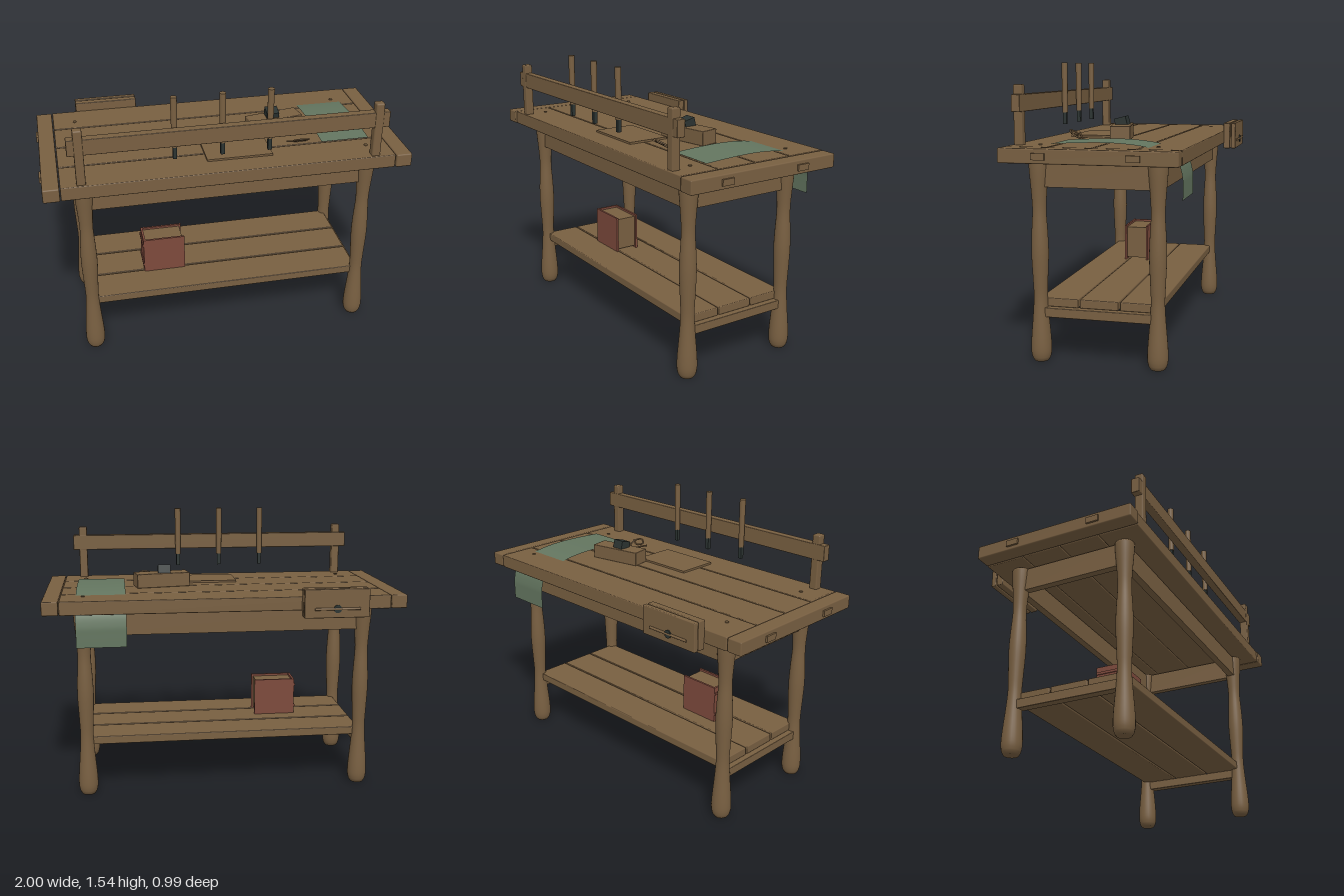
import * as THREE from 'three';
import { RoundedBoxGeometry } from 'three/addons/geometries/RoundedBoxGeometry.js';

const material = (name, color, side = THREE.FrontSide) => {
  const m = new THREE.MeshStandardMaterial({ color, side });
  m.name = name;
  return m;
};

export function createModel() {
  const wood = material('wood', 0x785f41);
  const iron = material('dark iron', 0x2b3331);
  const red = material('book red', 0x7d4a3c);
  const green = material('green cloth', 0x63755f, THREE.DoubleSide);

  const model = new THREE.Group();
  model.name = 'workbench';

  const add = (name, geometry, mat, x = 0, y = 0, z = 0, parent = model) => {
    const mesh = new THREE.Mesh(geometry, mat);
    mesh.name = name;
    mesh.position.set(x, y, z);
    parent.add(mesh);
    return mesh;
  };
  // Box given by its extents on each axis, with an optional small bevel
  const box = (name, mat, [x0, x1], [y0, y1], [z0, z1], bevel = 0, parent = model) => {
    const size = [x1 - x0, y1 - y0, z1 - z0];
    const geometry = bevel ? new RoundedBoxGeometry(...size, 1, bevel) : new THREE.BoxGeometry(...size);
    return add(name, geometry, mat, (x0 + x1) / 2, (y0 + y1) / 2, (z0 + z1) / 2, parent);
  };
  const span = (c, w) => [c - w / 2, c + w / 2];

  const LEG_X = 0.78, LEG_Z = [0.355, -0.27], TOP = 1.13;

  // Table top: four planks between two end boards with through tenons
  for (let i = 0; i < 4; i++) {
    const z = -0.415 + i * 0.2265;
    box('topPlank', wood, [-0.898, 0.898], [1.055, TOP], [z, z + 0.222], 0.005);
  }
  for (const s of [-1, 1]) {
    box('endBoard', wood, span(s * 0.946, 0.088), [1.055, TOP], [-0.415, 0.493], 0.007);
    for (const z of [0.28, -0.195]) box('tenon', wood, span(s * 0.98, 0.04), [1.075, 1.108], span(z, 0.07));
    for (const z of [0.345, -0.27]) add('peg', new THREE.CylinderGeometry(0.01, 0.01, 0.02, 12), wood, s * 0.775, 1.125, z);
  }

  // Turned legs
  const legProfile = new THREE.SplineCurve([
    [0.047, 0.015], [0.054, 0.05], [0.052, 0.12], [0.042, 0.24], [0.036, 0.34], [0.039, 0.43],
    [0.045, 0.57], [0.042, 0.68], [0.036, 0.79], [0.040, 0.88], [0.049, 0.99], [0.052, 1.047],
  ].map(p => new THREE.Vector2(...p)));
  const legPoints = [new THREE.Vector2(0, 0), new THREE.Vector2(0.038, 0), ...legProfile.getPoints(36), new THREE.Vector2(0, 1.047)];
  const legGeometry = new THREE.LatheGeometry(legPoints, 24);
  for (const x of [-LEG_X, LEG_X]) for (const z of LEG_Z) add('leg', legGeometry, wood, x, 0, z);

  // Aprons, side stretchers and the lower shelf
  for (const z of LEG_Z) box('longApron', wood, [-LEG_X, LEG_X], [0.917, 1.04], span(z, 0.04));
  for (const x of [-LEG_X, LEG_X]) {
    box('sideApron', wood, span(x, 0.04), [0.917, 1.043], [-0.27, 0.355]);
    box('stretcher', wood, span(x, 0.05), [0.237, 0.287], [-0.27, 0.355], 0.004);
  }
  for (const z of [0.2575, 0.0425, -0.1725]) box('shelfPlank', wood, [-0.775, 0.775], [0.287, 0.333], span(z, 0.207), 0.005);

  // Tool rack: posts and rail
  for (const x of [-0.79, 0.788]) box('rackPost', wood, span(x, 0.048), [1.125, 1.435], [0.427, 0.475], 0.008);
  box('rackRail', wood, [-0.85, 0.847], [1.297, 1.385], [0.425, 0.472], 0.004);

  // Chisels hanging behind the rail
  for (const x of [-0.297, -0.044, 0.21]) {
    const chisel = new THREE.Group();
    chisel.name = 'chisel';
    chisel.position.set(x, 0, 0.405);
    model.add(chisel);
    add('chiselHandle', new THREE.CylinderGeometry(0.0175, 0.0155, 0.28, 16), wood, 0, 1.405, 0, chisel);
    box('chiselBlade', iron, span(0, 0.021), [1.198, 1.268], span(0, 0.021), 0, chisel);
  }

  // Vise on the back edge
  box('viseInnerJaw', wood, [-0.758, -0.4], [1.023, 1.18], [-0.452, -0.412], 0.005);
  box('viseOuterJaw', wood, [-0.758, -0.4], [1.023, 1.18], [-0.486, -0.458], 0.005);
  const screw = add('viseScrew', new THREE.CylinderGeometry(0.022, 0.022, 0.08, 16), iron, -0.58, 1.073, -0.452);
  screw.rotation.x = Math.PI / 2;
  const handle = add('viseHandle', new THREE.CylinderGeometry(0.007, 0.007, 0.25, 10), wood, -0.58, 1.073, -0.488);
  handle.rotation.z = Math.PI / 2;

  // Hand plane with its tilted iron
  const plane = new THREE.Group();
  plane.name = 'handPlane';
  plane.position.set(0.332, TOP, 0.036);
  plane.rotation.y = 0.19;
  model.add(plane);
  box('planeBody', wood, span(0, 0.31), [0, 0.08], span(0, 0.108), 0.004, plane);
  const blade = add('planeIron', new THREE.BoxGeometry(0.07, 0.09, 0.066), iron, 0.318, 1.205, 0.034);
  blade.rotation.x = 0.25;

  // Wood shaving: a loose curl lying on a slope
  const curl = [[0.34, 0.275], [0.385, 0.255], [0.425, 0.235], [0.465, 0.252], [0.455, 0.288], [0.42, 0.302],
    [0.385, 0.28], [0.42, 0.262], [0.47, 0.285]].map(([x, z]) => new THREE.Vector3(x, 1.14 + 0.65 * (z - 0.24), z));
  add('shaving', new THREE.TubeGeometry(new THREE.CatmullRomCurve3(curl), 60, 0.005, 6), wood);

  // Thin board on the table top
  box('thinBoard', wood, [-0.115, 0.245], [TOP, 1.141], [0.12, 0.357]);

  // Cloth lying on the top and hanging down behind
  const drape = new THREE.CatmullRomCurve3([[0.275, 1.139], [0.15, 1.146], [0, 1.15], [-0.12, 1.145], [-0.225, 1.131],
    [-0.32, 1.105], [-0.375, 1.065], [-0.398, 0.99], [-0.4, 0.94], [-0.4, 0.875]].map(([z, y]) => new THREE.Vector3(0, y, z)));
  const cloth = new THREE.PlaneGeometry(0.27, 1, 1, 40);
  const pos = cloth.attributes.position;
  for (let i = 0; i < pos.count; i++) {
    const p = drape.getPoint(pos.getY(i) + 0.5);
    pos.setXYZ(i, pos.getX(i) + 0.68, p.y, p.z);
  }
  cloth.computeVertexNormals();
  add('cloth', cloth, green);

  // Book standing on the shelf
  const book = new THREE.Group();
  book.name = 'book';
  model.add(book);
  for (const z of [0.164, 0.03]) box('bookCover', red, [-0.457, -0.217], [0.333, 0.547], span(z, 0.012), 0, book);
  box('bookSpine', red, [-0.457, -0.445], [0.333, 0.547], [0.03, 0.164], 0, book);
  box('bookPages', wood, [-0.445, -0.228], [0.345, 0.535], [0.036, 0.158], 0, book);
  for (const y of [0.38, 0.51]) box('spineRib', red, [-0.463, -0.455], span(y, 0.014), [0.026, 0.168], 0, book);

  return model;
}
